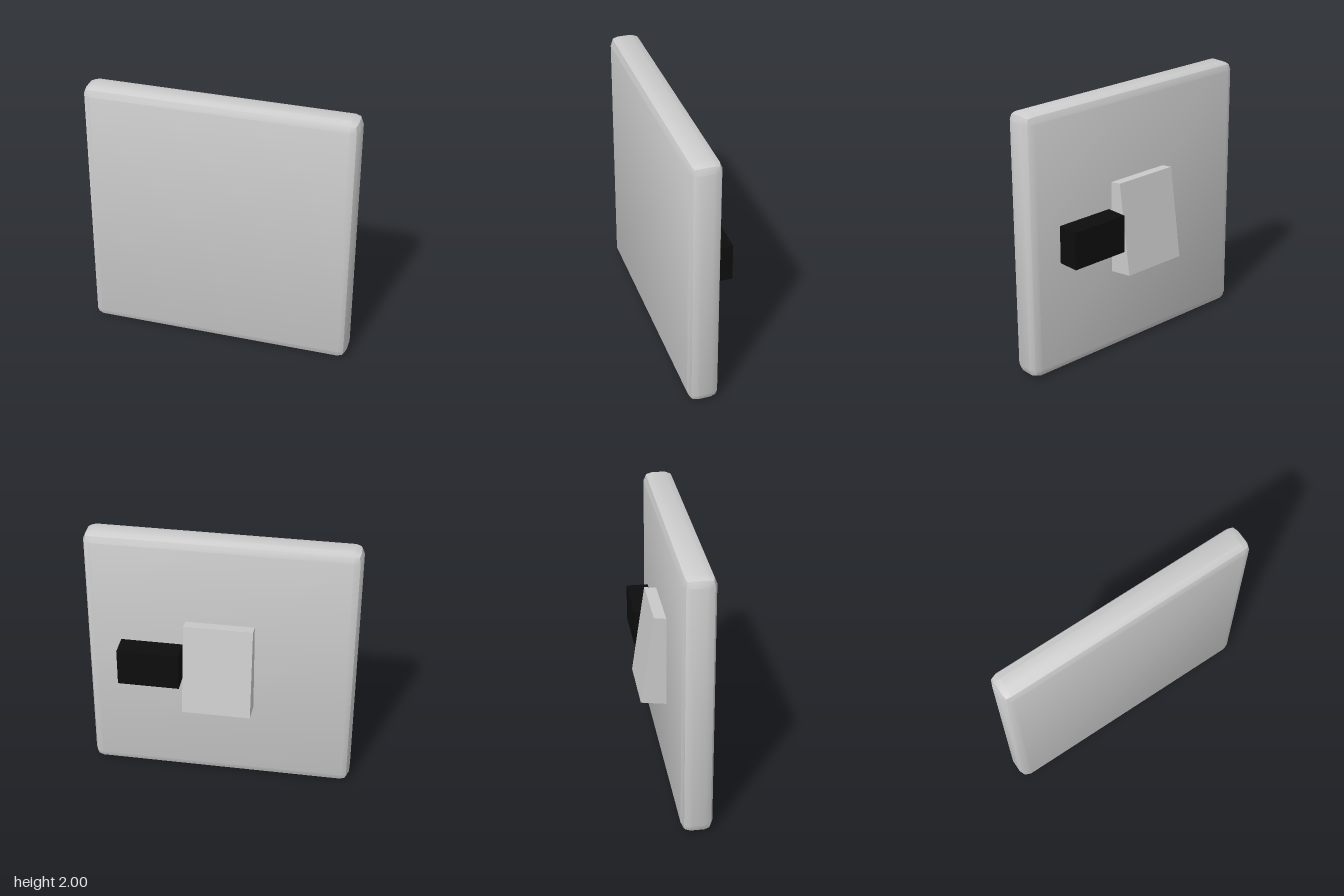
import * as THREE from 'three';
import { toCreasedNormals } from 'three/addons/utils/BufferGeometryUtils.js';
import { RoundedBoxGeometry } from 'three/addons/geometries/RoundedBoxGeometry.js';

export function createModel() {
  const model = new THREE.Group();
  model.name = 'wallPanel';

  const grey = new THREE.MeshStandardMaterial({ color: 0xcccccc });
  grey.name = 'light grey';
  const black = new THREE.MeshStandardMaterial({ color: 0x0d0d0d });
  black.name = 'black';

  const add = (name, geometry, material, x, y, z) => {
    const mesh = new THREE.Mesh(geometry, material);
    mesh.name = name;
    mesh.position.set(x, y, z);
    model.add(mesh);
    return mesh;
  };

  // Square panel: two-step bevel, creased along the middle of each edge
  const panel = toCreasedNormals(new RoundedBoxGeometry(2, 2, 0.23, 1, 0.065), 0.5);
  add('panel', panel, grey, 0, 1, 0.095);

  // Wedge-like block leaning into the back of the panel
  const block = add('tiltedBlock', new THREE.BoxGeometry(0.51, 0.697, 0.21), grey, 0, 1, -0.056);
  block.rotation.x = 0.142;

  // Small dark connector beside the block, sunk into the panel
  add('connector', new THREE.BoxGeometry(0.46, 0.285, 0.235), black, 0.51, 1.002, -0.068);

  return model;
}
